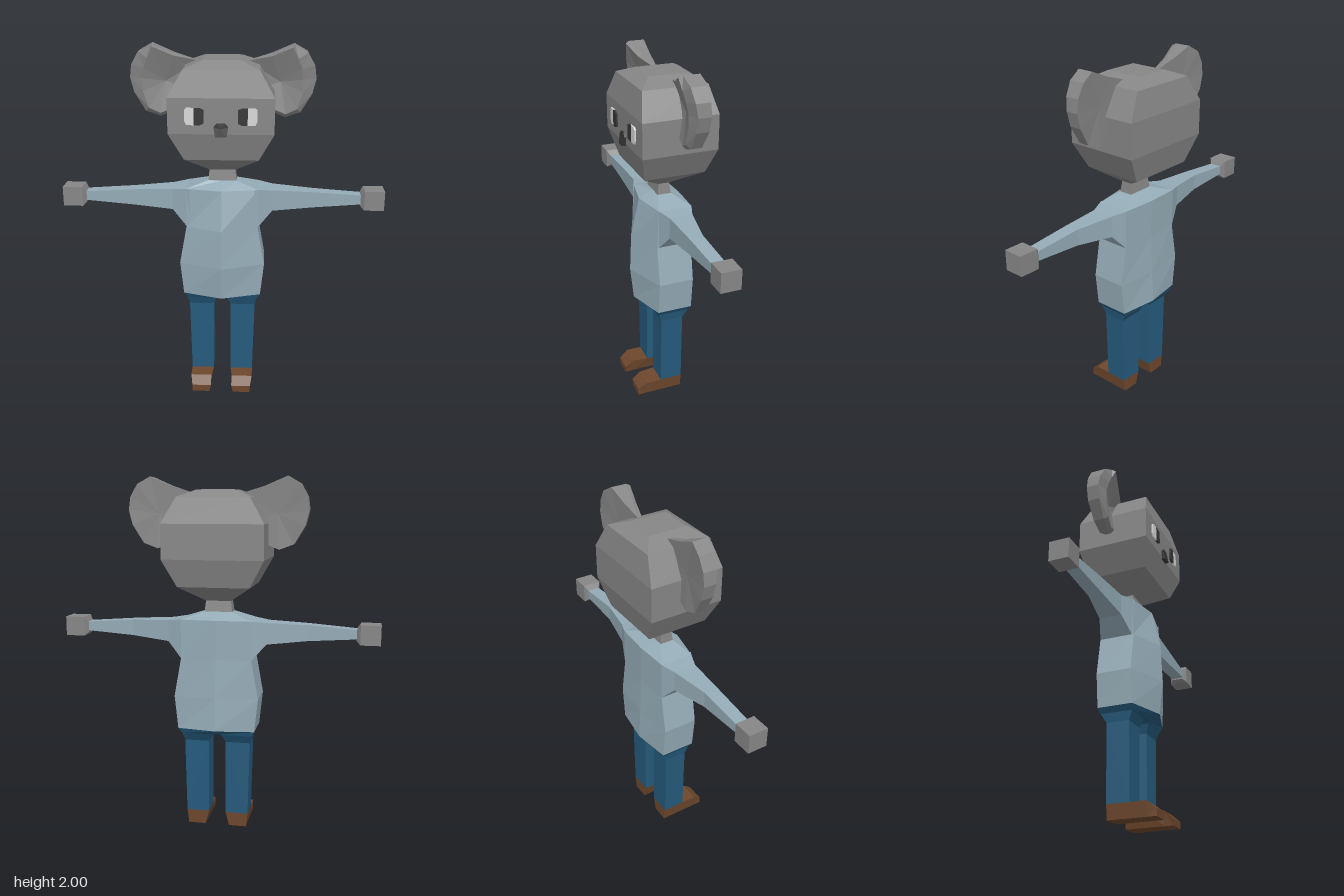
import * as THREE from 'three';

const material = (name, color) => Object.assign(new THREE.MeshStandardMaterial({ color }), { name, flatShading: true });

// Closed faceted solid through equal-sized rings of [x, y, z]; each end is a fan around a hub point.
function loft(rings, startHub, endHub) {
  const pos = [], n = rings[0].length;
  const mean = r => [0, 1, 2].map(k => r.reduce((s, p) => s + p[k], 0) / n);
  const tri = (a, b, c) => pos.push(...a, ...b, ...c);
  const first = rings[0], last = rings[rings.length - 1];
  const h0 = startHub || mean(first), h1 = endHub || mean(last);
  for (let j = 0; j < n; j++) {
    const k = (j + 1) % n;
    tri(h0, first[k], first[j]);
    for (let i = 0; i < rings.length - 1; i++) {
      const [a, b, c, d] = [rings[i][j], rings[i][k], rings[i + 1][k], rings[i + 1][j]];
      tri(a, b, c);
      tri(a, c, d);
    }
    tri(h1, last[j], last[k]);
  }
  // Turn the faces outward, whichever way the rings run
  let volume = 0;
  const A = new THREE.Vector3(), B = new THREE.Vector3(), C = new THREE.Vector3();
  for (let i = 0; i < pos.length; i += 9) {
    A.fromArray(pos, i); B.fromArray(pos, i + 3); C.fromArray(pos, i + 6);
    volume += A.dot(B.cross(C));
  }
  if (volume < 0) {
    for (let i = 0; i < pos.length; i += 9) {
      for (let k = 0; k < 3; k++) [pos[i + 3 + k], pos[i + 6 + k]] = [pos[i + 6 + k], pos[i + 3 + k]];
    }
  }
  const g = new THREE.BufferGeometry();
  g.setAttribute('position', new THREE.Float32BufferAttribute(pos, 3));
  g.computeVertexNormals();
  return g;
}

// Rectangular sections across each axis
const rectY = (y, x0, x1, z0, z1) => [[x0, y, z1], [x1, y, z1], [x1, y, z0], [x0, y, z0]];
const rectX = (x, y0, y1, z0, z1) => [[x, y0, z1], [x, y1, z1], [x, y1, z0], [x, y0, z0]];
// Six-sided body section with a ridge down the front and back
const bodyRing = (y, w, front, cornerF, cornerB, back) =>
  [[0, y, front], [w, y, cornerF], [w, y, cornerB], [0, y, back], [-w, y, cornerB], [-w, y, cornerF]];

export function createModel() {
  const model = new THREE.Group();
  model.name = 'animalFigure';
  const fur = material('greyFur', 0x868686);
  const shirt = material('blueGreyShirt', 0x94abb6);
  const denim = material('darkBlueTrousers', 0x255a7c);
  const leather = material('brownShoes', 0x6d472c);
  const dark = material('nearBlack', 0x363636);
  const white = material('eyeWhite', 0xd8d8d8);

  const add = (name, geometry, mat) => {
    const mesh = new THREE.Mesh(geometry, mat);
    mesh.name = name;
    model.add(mesh);
    return mesh;
  };

  // Head and neck
  add('head', loft([
    rectY(1.32, -0.07, 0.07, -0.03, 0.03),
    rectY(1.41, -0.2, 0.2, -0.185, 0.16),
    rectY(1.56, -0.28, 0.28, -0.22, 0.2),
    rectY(1.75, -0.28, 0.28, -0.22, 0.2),
    rectY(1.89, -0.2, 0.2, -0.19, 0.17),
    rectY(1.93, -0.1, 0.1, -0.12, 0.1),
  ]), fur);
  add('neck', loft([
    rectY(1.25, -0.08, 0.08, -0.04, 0.04),
    rectY(1.33, -0.07, 0.07, -0.03, 0.03),
  ]), fur);

  // Shirt body
  add('shirtBody', loft([
    bodyRing(0.59, 0.22, 0.16, 0.09, -0.11, -0.14),
    bodyRing(0.78, 0.24, 0.18, 0.09, -0.11, -0.13),
    bodyRing(1, 0.2, 0.17, 0.09, -0.11, -0.12),
    bodyRing(1.22, 0.2, 0.12, 0.08, -0.11, -0.12),
    bodyRing(1.26, 0.08, 0.04, 0.04, -0.04, -0.04),
  ]), shirt);

  // Hips
  add('hips', loft([
    bodyRing(0.56, 0.2, 0.09, 0.08, -0.1, -0.1),
    bodyRing(0.59, 0.22, 0.16, 0.09, -0.11, -0.14),
  ]), denim);

  // Nose
  const noseRing = (z, s, drop) => [[-0.02, 1.62], [0.02, 1.62], [0.04, 1.6], [0.03, 1.55], [-0.03, 1.55], [-0.04, 1.6]]
    .map(([x, y]) => [x * s, y, z + (y < 1.57 ? drop : 0)]);
  add('nose', loft([noseRing(0.18, 1, 0), noseRing(0.21, 0.95, 0.01)]), dark);

  // Ear outline: x, y, back z, front z, then x and y of the front ridge
  const ear = [
    [0.13, 1.91, -0.04, -0.02, 0.13, 1.91],
    [0.26, 1.95, -0.05, 0.02, 0.26, 1.94],
    [0.38, 2, -0.06, 0.05, 0.37, 1.99],
    [0.45, 1.96, -0.07, 0.04, 0.4, 1.93],
    [0.49, 1.89, -0.07, 0.03, 0.42, 1.88],
    [0.5, 1.82, -0.07, 0.02, 0.43, 1.82],
    [0.48, 1.74, -0.07, 0.02, 0.43, 1.75],
    [0.42, 1.64, -0.06, 0.02, 0.4, 1.66],
    [0.34, 1.61, -0.06, 0.01, 0.34, 1.63],
    [0.26, 1.64, -0.05, 0, 0.26, 1.66],
    [0.15, 1.75, -0.04, -0.02, 0.15, 1.75],
  ];

  for (const [side, s] of [['left', 1], ['right', -1]]) {
    const flip = rings => rings.map(r => r.map(([x, y, z]) => [x * s, y, z]));
    const part = (name, rings, mat) => add(side + name, loft(flip(rings)), mat);

    // Cupped ear with a raised rim
    add(side + 'Ear', loft(flip([
      ear.map(([x, y, zb]) => [x, y, zb]),
      ear.map(([x, y, , zf]) => [x, y, zf - 0.02]),
      ear.map(([, , , zf, x, y]) => [x, y, zf]),
    ]), [0.33 * s, 1.8, -0.05], [0.31 * s, 1.8, -0.02]), fur);

    // Eye white towards the outside, pupil towards the nose
    const plate = (outline, z) => [outline.map(([x, y]) => [x, y, z]), outline.map(([x, y]) => [x, y, z + 0.009])];
    part('EyeWhite', plate([[0.13, 1.61], [0.18, 1.61], [0.19, 1.63], [0.19, 1.69], [0.18, 1.7], [0.13, 1.7]], 0.2), white);
    part('Pupil', plate([[0.09, 1.62], [0.11, 1.61], [0.14, 1.61], [0.14, 1.7], [0.11, 1.7], [0.09, 1.69]], 0.202), dark);

    // Sleeve and hand
    part('Sleeve', [
      rectX(0.18, 1, 1.22, -0.11, 0.09),
      rectX(0.2, 1, 1.22, -0.11, 0.08),
      rectX(0.28, 1.09, 1.21, -0.08, 0.05),
      rectX(0.5, 1.11, 1.2, -0.04, 0.04),
      rectX(0.78, 1.13, 1.18, -0.04, 0.03),
    ], shirt);
    part('Hand', [
      rectX(0.77, 1.12, 1.18, -0.04, 0.03),
      rectX(0.79, 1.1, 1.21, -0.06, 0.05),
      rectX(0.9, 1.1, 1.21, -0.06, 0.05),
    ], fur);

    // Trouser leg
    part('Leg', [
      rectY(0.08, 0.05, 0.18, -0.07, 0.06),
      rectY(0.51, 0.05, 0.19, -0.07, 0.06),
      rectY(0.56, 0.03, 0.2, -0.1, 0.08),
    ], denim);

    // Shoe, narrower at the sole, with a sloping toe
    const shoeRing = (z, top, x0, x1) => [[0.07, 0, z], [0.17, 0, z], [x1, top, z], [x0, top, z]];
    part('Shoe', [
      shoeRing(-0.07, 0.08, 0.05, 0.18),
      shoeRing(0.06, 0.08, 0.05, 0.18),
      shoeRing(0.15, 0.08, 0.06, 0.18),
      shoeRing(0.2, 0.04, 0.06, 0.17),
    ], leather);
  }
  return model;
}
